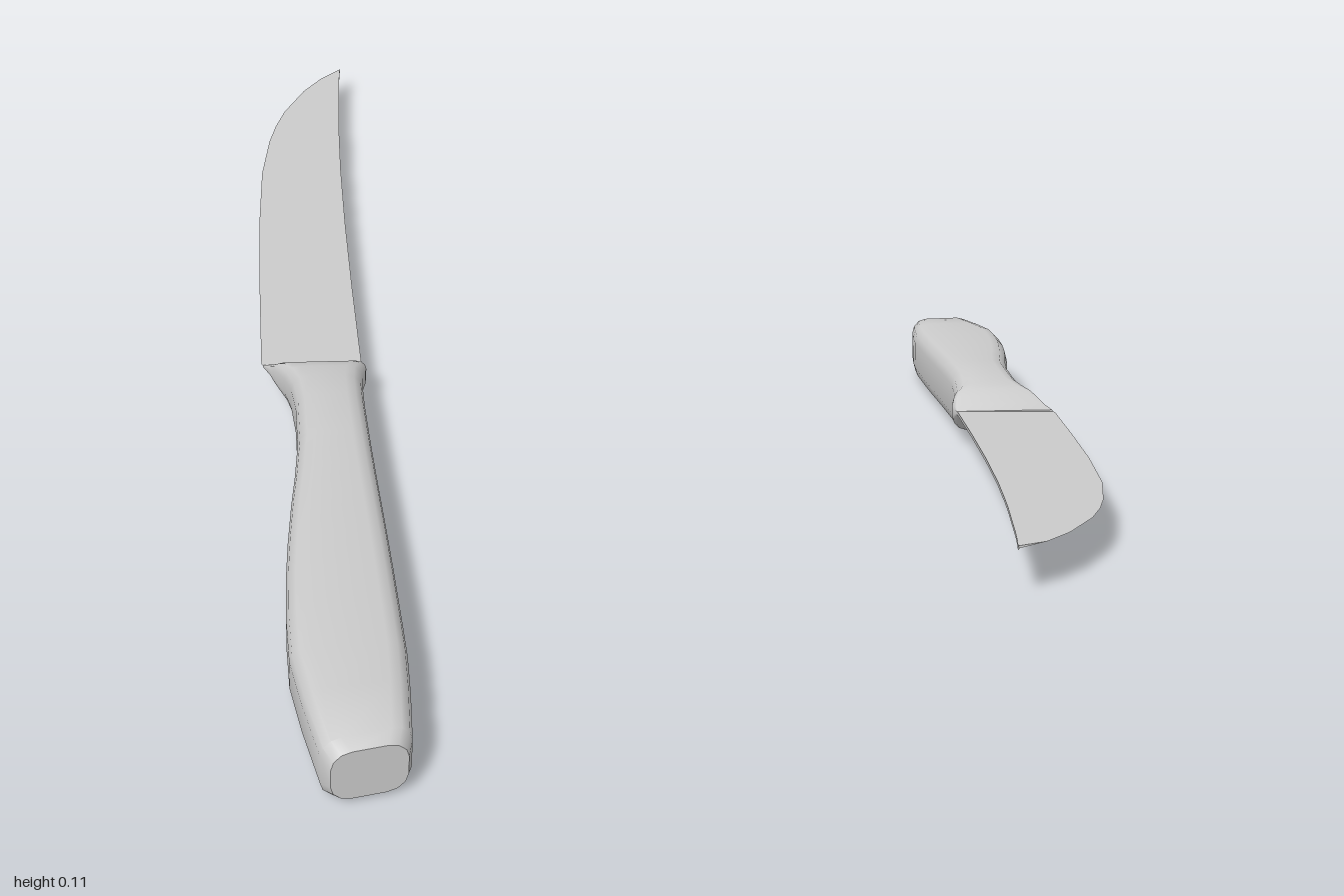
import * as THREE from 'three';
import { toCreasedNormals } from 'three/addons/utils/BufferGeometryUtils.js';

const MID = 0.058; // height of the blade plane

// Skin a list of equal-length rings (counter-clockwise seen from +z, ordered towards +z), with capped ends
function loft(rings, crease) {
  const n = rings[0].length;
  const pos = rings.flat(2);
  const index = [];
  for (let i = 0; i < rings.length - 1; i++) {
    for (let j = 0; j < n; j++) {
      const a = i * n + j, b = i * n + (j + 1) % n;
      index.push(a, b, b + n, a, b + n, a + n);
    }
  }
  const last = (rings.length - 1) * n;
  for (let j = 1; j < n - 1; j++) {
    index.push(0, j + 1, j, last, last + j, last + j + 1);
  }
  const geo = new THREE.BufferGeometry();
  geo.setAttribute('position', new THREE.Float32BufferAttribute(pos, 3));
  geo.setIndex(index);
  return toCreasedNormals(geo, crease);
}

// Rounded rectangle from x0 to x1, half height h; tilt slants the ring so its -x side reaches further back
function handleRing([z, x0, x1, h, tilt = 0]) {
  const r = Math.min(0.03, h * 0.65);
  const cx = (x0 + x1) / 2, ring = [];
  const corners = [[x1 - r, h - r], [x0 + r, h - r], [x0 + r, r - h], [x1 - r, r - h]];
  corners.forEach(([px, py], q) => {
    for (let k = 0; k < 4; k++) {
      const a = (q + k / 3) * Math.PI / 2;
      const x = px + r * Math.cos(a);
      ring.push([x, MID + py + r * Math.sin(a), z - tilt * (x - cx)]);
    }
  });
  return ring;
}

export function createModel() {
  const group = new THREE.Group();
  const material = new THREE.MeshStandardMaterial({ color: 0xcccccc });
  const add = (name, geo) => {
    const mesh = new THREE.Mesh(geo, material);
    mesh.name = name;
    group.add(mesh);
  };

  // Handle with a wedge-shaped collar at the blade: z, left x, right x, half height, tilt
  const handle = [
    [0.046, -0.097, 0.075, 0.003],
    [0.06, -0.086, 0.079, 0.014],
    [0.072, -0.079, 0.081, 0.027],
    [0.085, -0.071, 0.079, 0.037],
    [0.105, -0.061, 0.073, 0.043],
    [0.14, -0.051, 0.071, 0.049],
    [0.2, -0.045, 0.071, 0.056],
    [0.3, -0.045, 0.075, 0.057],
    [0.38, -0.052, 0.079, 0.057],
    [0.45, -0.06, 0.083, 0.057],
    [0.54, -0.068, 0.088, 0.057],
    [0.62, -0.073, 0.092, 0.057],
    [0.71, -0.075, 0.096, 0.057],
    [0.79, -0.073, 0.099, 0.057, 0.03],
    [0.87, -0.058, 0.098, 0.057, 0.1],
    [0.963, -0.036, 0.094, 0.057, 0.2],
    [0.983, -0.022, 0.088, 0.047, 0.2],
  ];
  add('handle', loft(handle.map(handleRing), 0.65));

  // Blade: z, cutting edge x, spine x
  const blade = [
    [-1.0, 0.084, 0.087],
    [-0.965, 0.044, 0.084],
    [-0.915, 0.007, 0.081],
    [-0.83, -0.036, 0.077],
    [-0.77, -0.056, 0.074],
    [-0.71, -0.07, 0.072],
    [-0.59, -0.087, 0.069],
    [-0.4, -0.096, 0.068],
    [-0.18, -0.099, 0.07],
    [0.04, -0.1, 0.074],
    [0.06, -0.086, 0.075],
  ];
  const t = 0.003; // half thickness at the spine
  add('blade', loft(blade.map(([z, edge, spine]) => [
    [edge, MID, z], [spine, MID - t, z], [spine, MID + t, z],
  ]), 0.3));

  return group;
}
